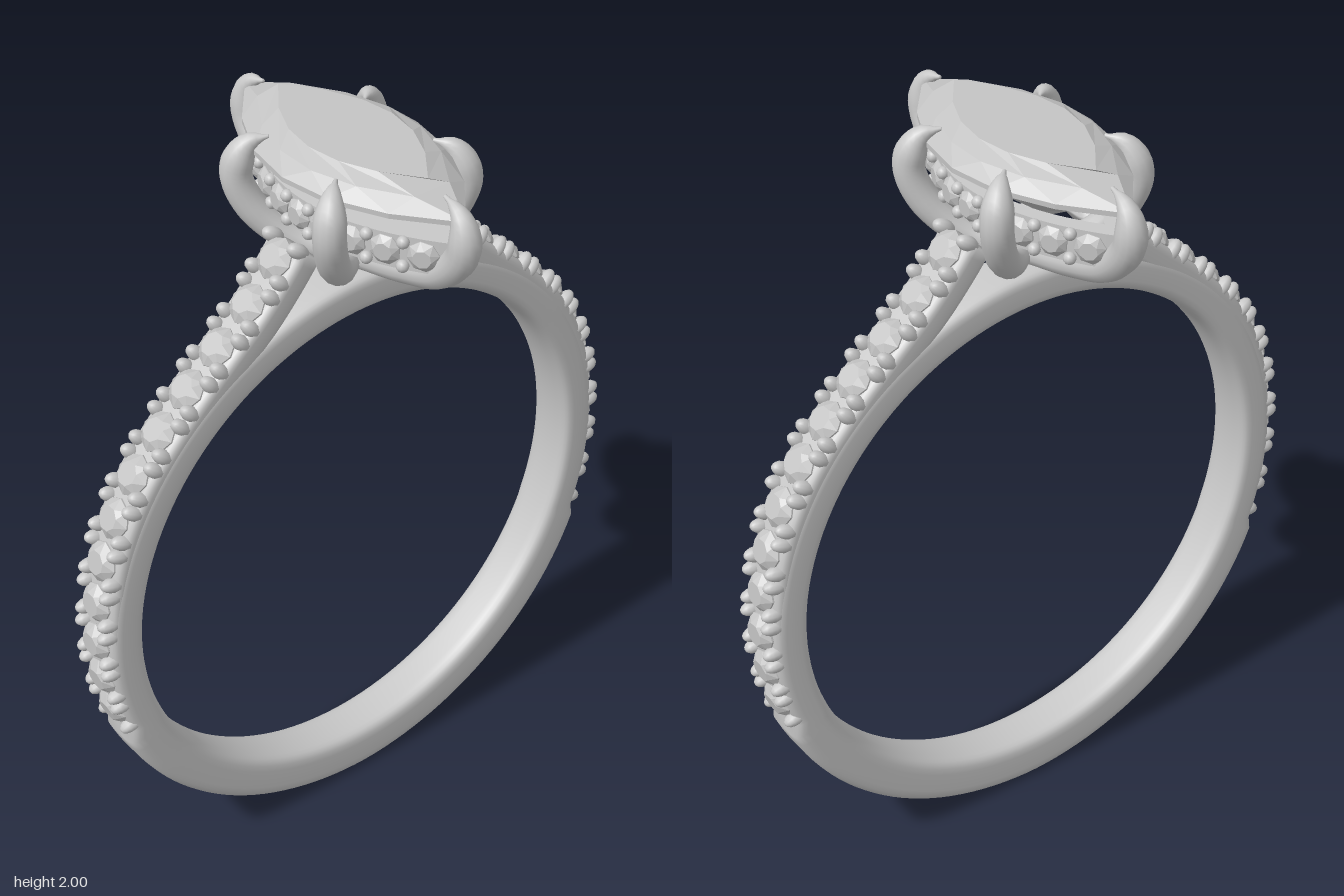
import * as THREE from 'three';

const metal = new THREE.MeshStandardMaterial({ color: 0xc8c8c8 });
metal.name = 'polished metal';
const crystal = new THREE.MeshStandardMaterial({ color: 0xc4c4c4 });
crystal.name = 'clear stone';

const V = (x, y, z) => new THREE.Vector3(x, y, z);
const UP = V(0, 1, 0);
const CY = 0.83, INNER = 0.697; // finger hole

// Skin a series of equal-length loops; ends are joined or capped
function loft(rings, { closed = false, flat = false } = {}) {
  const n = rings[0].length, pts = rings.flat(), tris = [];
  const last = closed ? rings.length : rings.length - 1;
  for (let r = 0; r < last; r++) {
    const a = r * n, b = ((r + 1) % rings.length) * n;
    for (let i = 0; i < n; i++) {
      const j = (i + 1) % n;
      tris.push([a + i, a + j, b + i], [b + i, a + j, b + j]);
    }
  }
  if (!closed) {
    for (const [ring, first] of [[rings[0], true], [rings.at(-1), false]]) {
      const c = pts.length, s = first ? 0 : (rings.length - 1) * n;
      pts.push(ring.reduce((m, p) => m.add(p), V(0, 0, 0)).divideScalar(n));
      for (let i = 0; i < n; i++) {
        const j = (i + 1) % n;
        tris.push(first ? [c, s + j, s + i] : [c, s + i, s + j]);
      }
    }
  }
  // turn the skin outward if its signed volume is negative
  const volume = tris.reduce((v, [a, b, c]) => v + pts[a].dot(pts[b].clone().cross(pts[c])), 0);
  if (volume < 0) tris.forEach(t => t.reverse());
  let g = new THREE.BufferGeometry().setFromPoints(pts);
  g.setIndex(tris.flat());
  if (flat) g = g.toNonIndexed();
  g.computeVertexNormals();
  return g;
}

// Rounded rectangle outline with half sizes a and b
function roundedSection(a, b, n = 24, power = 0.45) {
  return Array.from({ length: n }, (_, i) => {
    const t = ((i + 0.5) / n) * Math.PI * 2, c = Math.cos(t), s = Math.sin(t);
    return [a * Math.sign(c) * Math.abs(c) ** power, b * Math.sign(s) * Math.abs(s) ** power];
  });
}

// Pointed oval: t runs 0..1 round the outline from the front tip
function marquise(t, w, l, y) {
  t = ((t % 1) + 1) % 1;
  const u = t < 0.5 ? 1 - 4 * t : 4 * t - 3;
  return V((t < 0.5 ? 1 : -1) * w * (1 - u * u), y, l * u);
}

function add(group, name, geometry, material, pos, normal) {
  const m = new THREE.Mesh(geometry, material);
  m.name = name;
  if (pos) m.position.copy(pos);
  if (normal) m.quaternion.setFromUnitVectors(UP, normal);
  group.add(m);
  return m;
}

// Small round faceted stone, radius 1, girdle at y = 0
function roundStone() {
  const ring = (r, y, turn) => Array.from({ length: 8 }, (_, i) => {
    const a = ((i + turn) / 8) * Math.PI * 2;
    return V(r * Math.cos(a), y, -r * Math.sin(a));
  });
  return loft([ring(0.1, -0.7, 0), ring(1, -0.08, 0), ring(1, 0, 0), ring(0.58, 0.36, 0.5)], { flat: true });
}

// Finger band, slimmer where the shoulders overlay it
function makeBand() {
  const rings = [], N = 144;
  for (let k = 0; k < N; k++) {
    const t = (k / N) * Math.PI * 2, a = t > Math.PI ? Math.PI * 2 - t : t;
    const th = a < 1.92 ? 0.1 : THREE.MathUtils.mapLinear(a, 1.92, Math.PI, 0.121, 0.133);
    rings.push(roundedSection(th / 2, 0.07).map(([r, z]) => {
      const R = INNER + th / 2 + r;
      return V(R * Math.sin(t), CY + R * Math.cos(t), z);
    }));
  }
  return loft(rings, { closed: true });
}

// Prong following a (radius, height) profile in a vertical plane
function makeProng(profile, angle) {
  const curve = new THREE.CatmullRomCurve3(profile.map(([r, y]) => V(r, y, 0)));
  const rings = [], N = 36;
  for (let k = 0; k <= N; k++) {
    const u = k / N, p = curve.getPointAt(u), d = curve.getTangentAt(u);
    const taper = u < 0.78 ? 1 : Math.max(0.12, 1 - ((u - 0.78) / 0.22) ** 1.5);
    const w = (0.033 + 0.007 * Math.min(1, u * 2)) * taper;
    rings.push(Array.from({ length: 14 }, (_, i) => {
      const a = (i / 14) * Math.PI * 2, c = Math.cos(a) * w;
      return V(p.x - d.y * c, p.y + d.x * c, Math.sin(a) * w);
    }));
  }
  return loft(rings).rotateY(-angle);
}

export function createModel() {
  const model = new THREE.Group();
  model.name = 'ring';
  const stone = roundStone(), bead = new THREE.SphereGeometry(1, 10, 8);

  add(model, 'band', makeBand(), metal);

  // Shoulders: outer contour rising from the band to the head
  const contour = [[0.765, 0.54], [0.797, 0.64], [0.823, 0.83], [0.805, 1.03], [0.775, 1.14], [0.735, 1.23],
    [0.675, 1.325], [0.6, 1.41], [0.52, 1.49], [0.43, 1.57], [0.33, 1.66], [0.25, 1.75], [0.205, 1.81]];
  for (const side of [1, -1]) {
    const shoulder = new THREE.Group();
    shoulder.name = side > 0 ? 'leftShoulder' : 'rightShoulder';
    model.add(shoulder);
    const curve = new THREE.CatmullRomCurve3(contour.map(([x, y]) => V(side * x, y, 0)));
    const frame = u => {
      const p = curve.getPointAt(u), t = curve.getTangentAt(u);
      return { p, t, n: V(t.y * side, -t.x * side, 0).normalize() };
    };
    const rings = [];
    for (let k = 0; k <= 60; k++) {
      const { p, n } = frame(0.005 + 0.975 * k / 60);
      rings.push(roundedSection(0.04, 0.068).map(([r, z]) => p.clone().addScaledVector(n, r - 0.067).add(V(0, 0, z))));
    }
    add(shoulder, 'shoulderBar', loft(rings), metal);

    // Stone row with paired beads either side of every slit
    const COUNT = 12, step = 0.985 / COUNT;
    for (let i = 0; i < COUNT; i++) {
      const u = 0.008 + (i + 0.5) * step, { p, n } = frame(u);
      add(shoulder, 'shoulderStone', stone, crystal, p.clone().addScaledVector(n, -0.024), n).scale.setScalar(0.054);
      for (const end of [-1, 1]) for (const z of [-1, 1]) {
        const f = frame(THREE.MathUtils.clamp(u + end * step * 0.34, 0, 1));
        const pos = f.p.clone().addScaledVector(f.n, -0.032).add(V(0, 0, z * 0.048));
        add(shoulder, 'shoulderBead', bead, metal, pos, f.n).scale.set(0.0195, 0.034, 0.021);
      }
    }
  }

  // Head: gallery rail, prongs and centre stone
  const head = new THREE.Group();
  head.name = 'head';
  model.add(head);

  const outline = (w, l) => Array.from({ length: 48 }, (_, i) => {
    const p = marquise(i / 48, w, l, 0);
    return new THREE.Vector2(p.x, p.z);
  });
  const railShape = new THREE.Shape(outline(0.155, 0.385));
  railShape.holes.push(new THREE.Path(outline(0.118, 0.315)));
  const rail = new THREE.ExtrudeGeometry(railShape, { depth: 0.09, bevelEnabled: false }).rotateX(Math.PI / 2);
  add(head, 'galleryRail', rail, metal, V(0, 1.875, 0));

  for (const side of [0, 0.5]) for (let i = 0; i < 9; i++) {
    const at = t => {
      const p = marquise(t, 0.155, 0.385, 1.83);
      const d = marquise(t + 0.002, 0.155, 0.385, 1.83).sub(marquise(t - 0.002, 0.155, 0.385, 1.83));
      return { p, n: V(-d.z, 0, d.x).normalize() };
    };
    const t = side + 0.25 + (i - 4) * 0.0525, { p, n } = at(t);
    add(head, 'galleryStone', stone, crystal, p.clone().addScaledVector(n, 0.002), n).scale.setScalar(0.04);
    if (i < 8) for (const y of [-0.032, 0.032]) {
      const f = at(t + 0.02625);
      add(head, 'galleryBead', bead, metal, f.p.addScaledVector(f.n, 0.006).add(V(0, y, 0))).scale.setScalar(0.016);
    }
  }

  const sideProfile = [[0.02, 1.665], [0.14, 1.70], [0.232, 1.78], [0.272, 1.87], [0.26, 1.93], [0.235, 1.963], [0.192, 1.978]];
  const endProfile = [[0.03, 1.67], [0.2, 1.72], [0.34, 1.78], [0.408, 1.86], [0.408, 1.93], [0.385, 1.963], [0.34, 1.982]];
  const tilt = Math.atan2(0.172, 0.197);
  for (const a of [tilt, -tilt, Math.PI - tilt, Math.PI + tilt]) add(head, 'sideProng', makeProng(sideProfile, a), metal);
  for (const a of [Math.PI / 2, -Math.PI / 2]) add(head, 'endProng', makeProng(endProfile, a), metal);

  // Centre stone: keel, pavilion, girdle, crown and table as [width, length, height, turn]
  const layers = [[0.015, 0.1, 1.8, 0], [0.115, 0.26, 1.875, 0.5], [0.203, 0.415, 1.935, 0],
    [0.203, 0.415, 1.948, 0], [0.168, 0.355, 1.978, 0.5], [0.125, 0.28, 2.0, 0]];
  const gem = loft(layers.map(([w, l, y, turn]) =>
    Array.from({ length: 12 }, (_, i) => marquise((i + turn) / 12, w, l, y))), { flat: true });
  add(head, 'centreStone', gem, crystal);

  return model;
}
